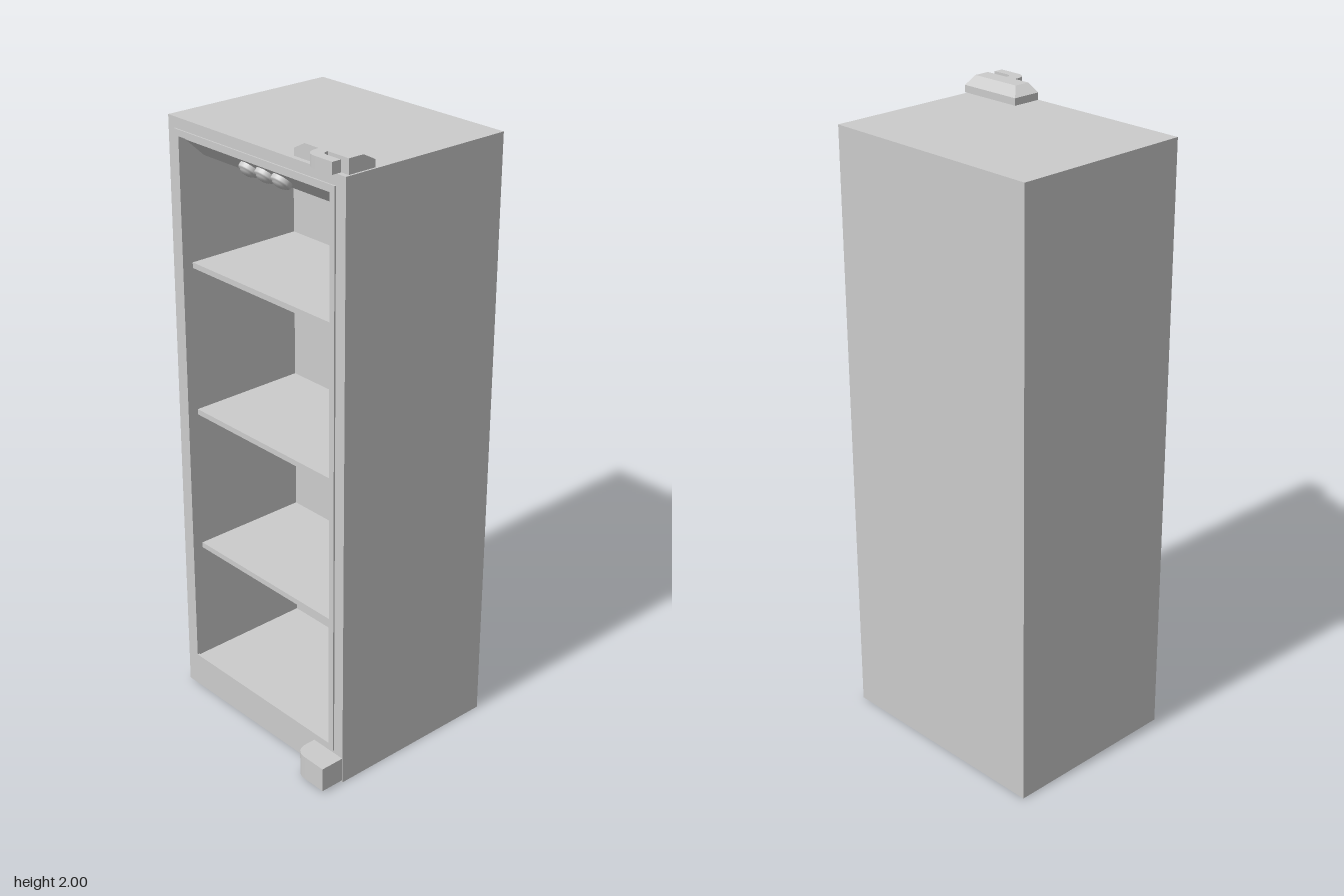
import * as THREE from 'three';

const grey = new THREE.MeshStandardMaterial({ color: 0xcccccc, flatShading: true });
const smooth = new THREE.MeshStandardMaterial({ color: 0xcccccc });

function add(parent, name, geometry, material = grey) {
  const mesh = new THREE.Mesh(geometry, material);
  mesh.name = name;
  parent.add(mesh);
  return mesh;
}

function box(parent, name, [x0, x1], [y0, y1], [z0, z1]) {
  const mesh = add(parent, name, new THREE.BoxGeometry(x1 - x0, y1 - y0, z1 - z0));
  mesh.position.set((x0 + x1) / 2, (y0 + y1) / 2, (z0 + z1) / 2);
  return mesh;
}

const rectPoints = (x0, x1, y0, y1) =>
  [[x0, y0], [x1, y0], [x1, y1], [x0, y1]].map(p => new THREE.Vector2(...p));

// Rectangular ring extruded along z
function ring(parent, name, outer, inner, z0, z1) {
  const shape = new THREE.Shape(rectPoints(...outer));
  shape.holes.push(new THREE.Path(rectPoints(...inner)));
  const geometry = new THREE.ExtrudeGeometry(shape, { depth: z1 - z0, bevelEnabled: false });
  geometry.translate(0, 0, z0);
  return add(parent, name, geometry);
}

// Outline in the (x, z) plane extruded upwards from y0 to y1
function plate(parent, name, shape, y0, y1) {
  const geometry = new THREE.ExtrudeGeometry(shape, { depth: y1 - y0, bevelEnabled: false, curveSegments: 8 });
  geometry.rotateX(Math.PI / 2).translate(0, y1, 0);
  return add(parent, name, geometry);
}

// Block whose back and left top edges are chamfered
function chamferedBlock() {
  const geometry = new THREE.BoxGeometry(0.217, 0.045, 0.095, 1, 2, 1);
  geometry.translate(0.2715, 1.9775, 0.2005);
  const p = geometry.attributes.position;
  for (let i = 0; i < p.count; i++) {
    if (p.getY(i) < 1.99) continue;
    if (p.getX(i) < 0.2) p.setX(i, 0.205);
    if (p.getZ(i) < 0.2) p.setZ(i, 0.196);
  }
  geometry.computeVertexNormals();
  return geometry;
}

export function createModel() {
  const model = new THREE.Group();
  const opening = [-0.325, 0.325, 0.123, 1.9];

  // Cabinet: hollow front shell closed by a thick back
  const cabinet = new THREE.Group();
  cabinet.name = 'cabinet';
  model.add(cabinet);
  ring(cabinet, 'shell', [-0.38, 0.38, 0.003, 1.955], opening, -0.17, 0.258);
  box(cabinet, 'back', [-0.38, 0.38], [0.003, 1.955], [-0.34, -0.17]);

  // Door seal: narrow neck and wider lip
  const seal = new THREE.Group();
  seal.name = 'doorSeal';
  model.add(seal);
  ring(seal, 'sealNeck', [-0.34, 0.34, 0.11, 1.915], opening, 0.258, 0.261);
  ring(seal, 'sealLip', [-0.345, 0.345, 0.104, 1.92], opening, 0.261, 0.266);

  // Shelves
  for (const y of [0.53, 1.008, 1.495]) {
    box(model, 'shelf', [-0.325, 0.325], [y - 0.009, y + 0.009], [-0.17, 0.23]);
  }

  // Lamp housing with a sloped front, profile in the (z, y) plane
  const profile = new THREE.Shape(
    [[0.24, 1.9], [0.24, 1.885], [0.175, 1.825], [-0.17, 1.825], [-0.17, 1.9]]
      .map(([z, y]) => new THREE.Vector2(-z, y)));
  const housing = new THREE.ExtrudeGeometry(profile, { depth: 0.65, bevelEnabled: false });
  housing.rotateY(Math.PI / 2).translate(-0.325, 0, 0);
  add(model, 'lampHousing', housing);

  // Three round lamps standing out from the slope
  const lampProfile = [[0.032, 0], [0.032, 0.012], [0.029, 0.016], [0.024, 0.016], [0.022, 0.02], [0.012, 0.024], [0, 0.025]]
    .map(p => new THREE.Vector2(...p));
  const normal = new THREE.Vector3(0, -0.065, 0.06).normalize();
  for (const x of [-0.07, 0, 0.07]) {
    const lamp = add(model, 'lamp', new THREE.LatheGeometry(lampProfile, 24), smooth);
    lamp.position.set(x, 1.857, 0.21);
    lamp.quaternion.setFromUnitVectors(new THREE.Vector3(0, 1, 0), normal);
  }

  // Upper hinge: chamfered base and hooked arm
  const upper = new THREE.Group();
  upper.name = 'upperHinge';
  model.add(upper);
  add(upper, 'hingeBase', chamferedBlock());
  const hook = new THREE.Shape();
  hook.moveTo(0.262, 0.24);
  hook.lineTo(0.262, 0.26);
  hook.quadraticCurveTo(0.265, 0.3, 0.305, 0.3);
  hook.lineTo(0.373, 0.3);
  hook.lineTo(0.373, 0.27);
  hook.lineTo(0.318, 0.27);
  hook.quadraticCurveTo(0.298, 0.268, 0.298, 0.248);
  hook.lineTo(0.298, 0.24);
  plate(upper, 'hingeArm', hook, 1.965, 2);

  // Lower hinge: block with one rounded corner
  const foot = new THREE.Shape();
  foot.moveTo(0.25, 0.25);
  foot.lineTo(0.25, 0.298);
  foot.quadraticCurveTo(0.254, 0.338, 0.296, 0.339);
  foot.lineTo(0.379, 0.339);
  foot.lineTo(0.379, 0.25);
  plate(model, 'lowerHinge', foot, 0.008, 0.09);

  model.position.y = 0;
  model.children.forEach(part => { if (part.name === 'cabinet') part.position.y = -0.003; });
  return model;
}
